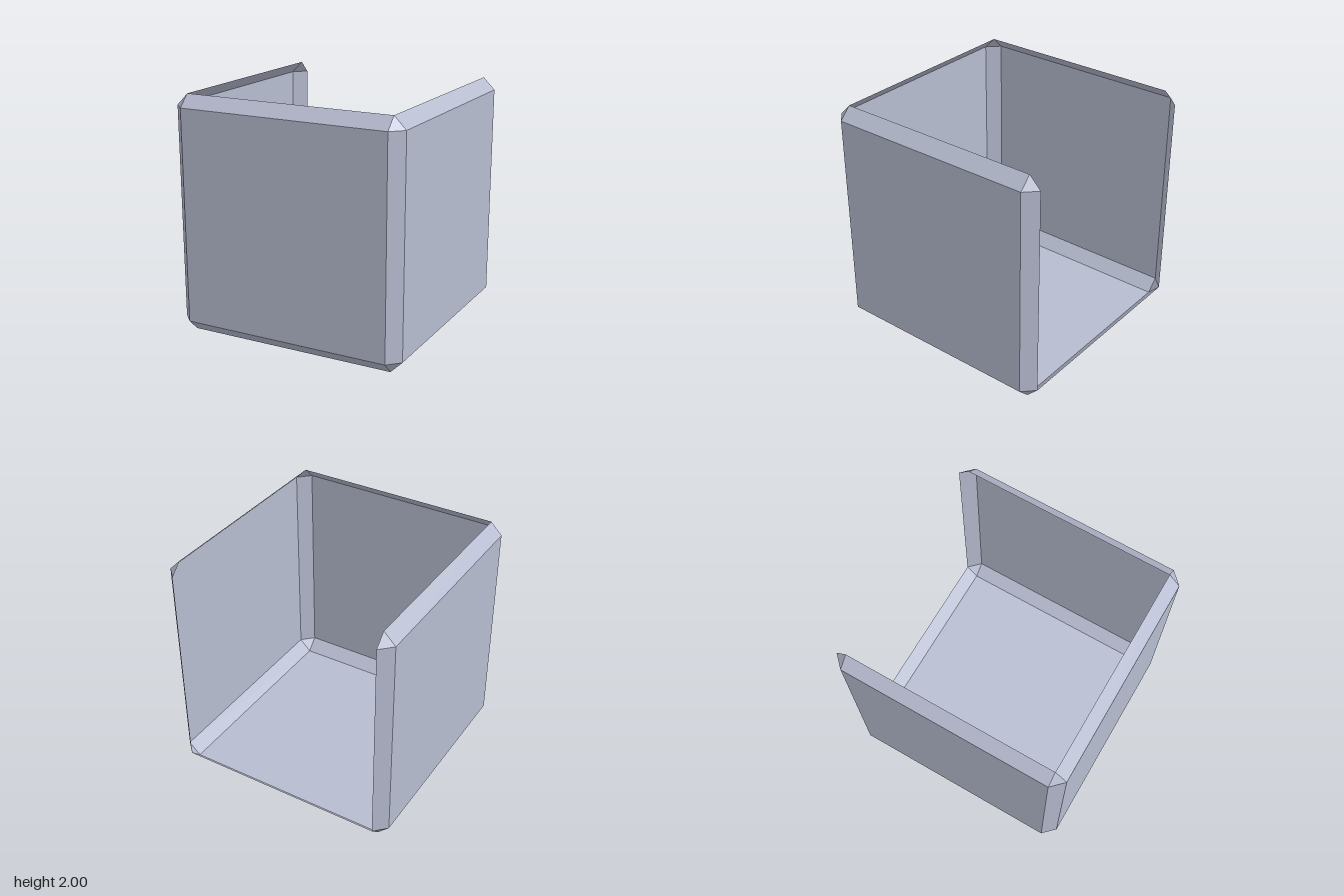
import * as THREE from 'three';

const HALF = 1;      // half the side of the box
const INNER = 0.9;   // where the bevels begin

// Corner of the flat panel facing along `axis`, in the octant given by `signs`
function point(axis, signs) {
  const v = signs.map((s, i) => s * (i === axis ? HALF : INNER));
  return new THREE.Vector3(...v);
}

// Flat convex polygon wound so that its front faces away from the box centre
function polygon(name, points, material) {
  const normal = new THREE.Vector3().crossVectors(
    points[1].clone().sub(points[0]), points[2].clone().sub(points[0]));
  if (normal.dot(points[0]) < 0) points.reverse();
  const geometry = new THREE.BufferGeometry().setFromPoints(points);
  geometry.setIndex(points.length === 4 ? [0, 1, 2, 0, 2, 3] : [0, 1, 2]);
  geometry.computeVertexNormals();
  const mesh = new THREE.Mesh(geometry, material);
  mesh.name = name;
  return mesh;
}

export function createModel() {
  const shell = new THREE.MeshStandardMaterial({ color: 0xb7bcd0, side: THREE.DoubleSide });
  shell.name = 'blueGrey';

  const box = new THREE.Group();
  box.name = 'openBox';
  box.position.y = HALF;

  const sideNames = [['right', 'left'], ['bottom', 'top'], ['back', 'front']];
  const label = (axis, sign) => sideNames[axis][sign > 0 ? 1 : 0];
  const open = new Set(['top panel', 'back panel', 'top back bevel']);
  const add = (name, points) => {
    if (!open.has(name)) box.add(polygon(name, points, shell));
  };
  const signs = [-1, 1];

  // Flat panels; the top and back are left open
  for (let a = 0; a < 3; a++) for (const s of signs) {
    const corners = [[-1, -1], [1, -1], [1, 1], [-1, 1]].map(([u, v]) => {
      const o = [0, 0, 0];
      o[a] = s; o[(a + 1) % 3] = u; o[(a + 2) % 3] = v;
      return point(a, o);
    });
    add(`${label(a, s)} panel`, corners);
  }

  // Bevel strips along the edges, each joining two neighbouring sides
  for (const [a, b, c] of [[1, 2, 0], [1, 0, 2], [0, 2, 1]]) {
    for (const s of signs) for (const t of signs) {
      const corners = [[a, -1], [a, 1], [b, 1], [b, -1]].map(([axis, end]) => {
        const o = [0, 0, 0];
        o[a] = s; o[b] = t; o[c] = end;
        return point(axis, o);
      });
      add(`${label(a, s)} ${label(b, t)} bevel`, corners);
    }
  }

  // Small triangles closing the eight corners
  for (const x of signs) for (const y of signs) for (const z of signs) {
    add(`${label(1, y)} ${label(2, z)} ${label(0, x)} corner`,
      [0, 1, 2].map((axis) => point(axis, [x, y, z])));
  }

  const model = new THREE.Group();
  model.name = 'model';
  model.add(box);
  return model;
}
